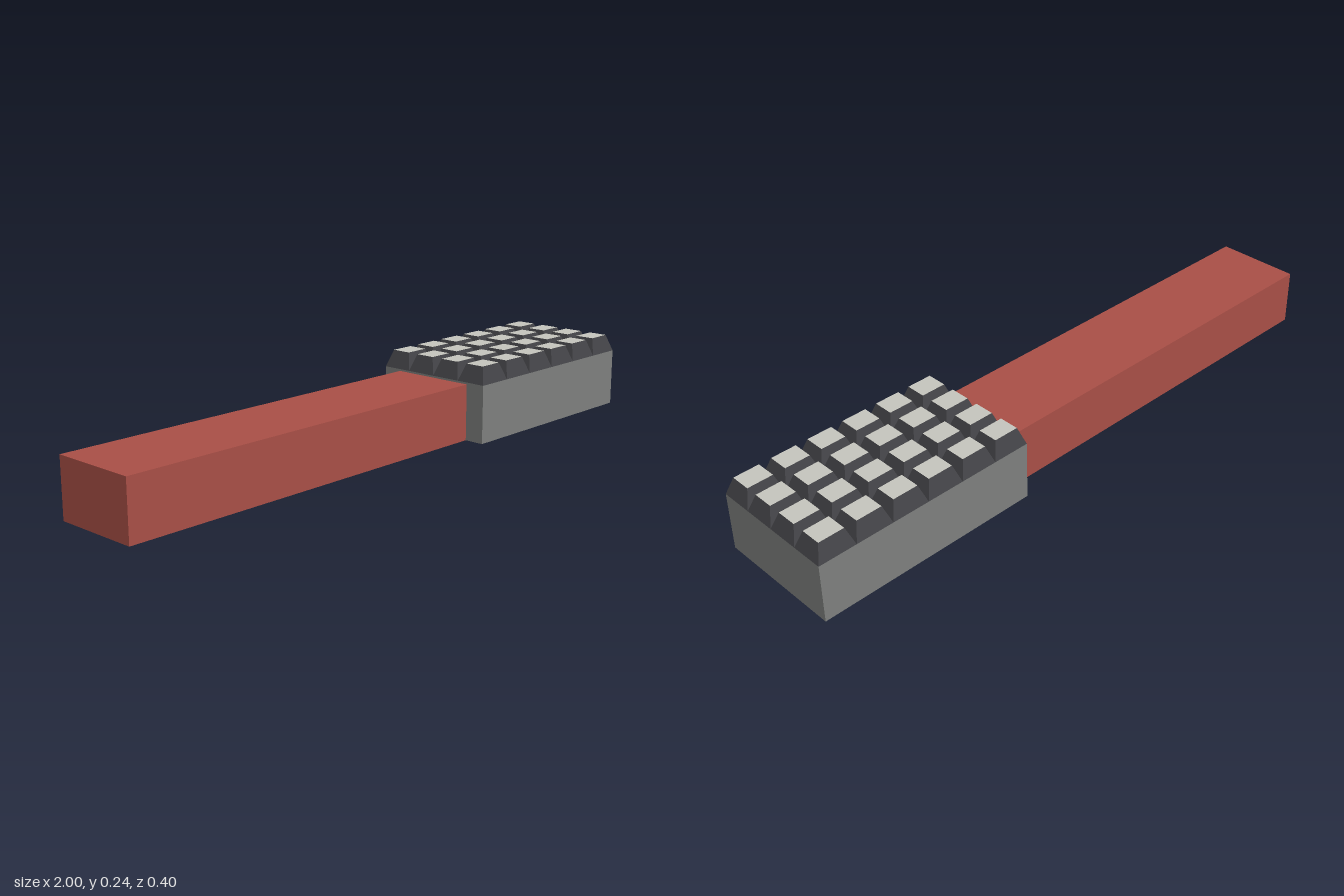
import * as THREE from 'three';

const material = (name, color) => {
  const m = new THREE.MeshStandardMaterial({ color });
  m.name = name;
  return m;
};

export function createModel() {
  const model = new THREE.Group();
  model.name = 'mallet';
  const red = material('handleRed', 0xa84f46);
  const grey = material('headGrey', 0x7d7f7d);
  const dark = material('toothDark', 0x434347);
  const pale = material('toothTopPale', 0xc4c4bc);

  // Box given by its lower and upper corners
  const block = (name, mat, [x0, y0, z0], [x1, y1, z1]) => {
    const mesh = new THREE.Mesh(new THREE.BoxGeometry(x1 - x0, y1 - y0, z1 - z0), mat);
    mesh.position.set((x0 + x1) / 2, (y0 + y1) / 2, (z0 + z1) / 2);
    mesh.name = name;
    model.add(mesh);
  };
  const headX = 0.29, headTop = 0.184;
  block('handle', red, [-1, 0, -0.138], [headX, 0.178, 0.136]);
  block('head', grey, [headX, 0, -0.2], [1, headTop, 0.2]);

  // Tapered tooth: a box whose top face is drawn in
  const cols = 6, rows = 4, toothHeight = 0.054;
  const dx = (1 - headX) / cols, dz = 0.4 / rows;
  const toothGeo = new THREE.BoxGeometry(dx, toothHeight, dz);
  const p = toothGeo.attributes.position;
  for (let i = 0; i < p.count; i++) {
    if (p.getY(i) > 0) {
      p.setX(i, Math.sign(p.getX(i)) * 0.04);
      p.setZ(i, Math.sign(p.getZ(i)) * 0.0315);
    }
  }
  toothGeo.computeVertexNormals();

  // Grid of teeth; the top face carries the pale colour
  const teeth = new THREE.Group();
  teeth.name = 'teeth';
  const toothMats = [dark, dark, pale, dark, dark, dark];
  for (let c = 0; c < cols; c++) {
    for (let r = 0; r < rows; r++) {
      const tooth = new THREE.Mesh(toothGeo, toothMats);
      tooth.name = 'tooth';
      tooth.position.set(headX + (c + 0.5) * dx, headTop + toothHeight / 2, -0.2 + (r + 0.5) * dz);
      teeth.add(tooth);
    }
  }
  model.add(teeth);
  return model;
}
